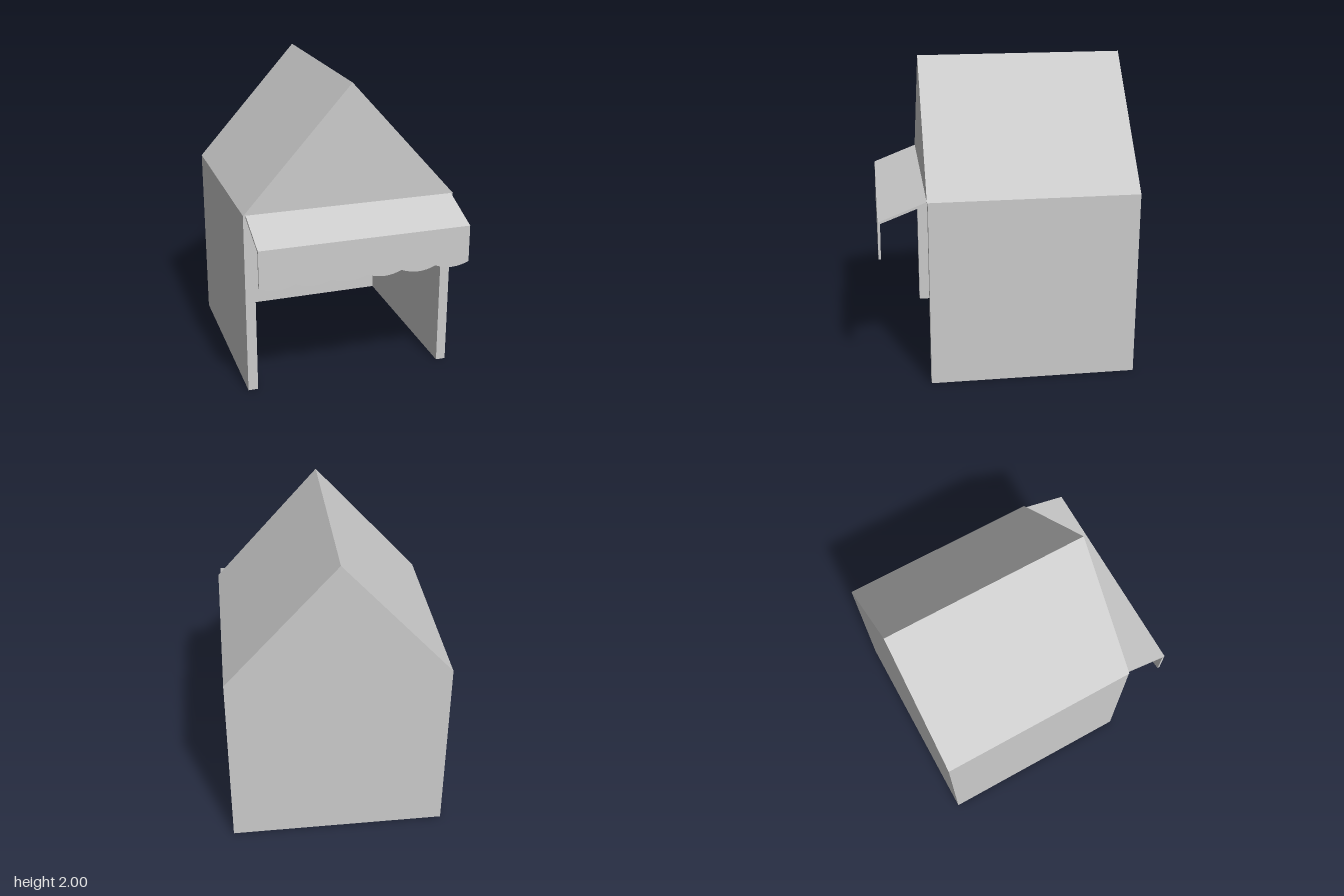
import * as THREE from 'three';

const material = new THREE.MeshStandardMaterial({ color: 0xcccccc, flatShading: true });

function extrude(points, depth) {
  const shape = new THREE.Shape(points.map(([x, y]) => new THREE.Vector2(x, y)));
  return new THREE.ExtrudeGeometry(shape, { depth, bevelEnabled: false });
}

export function createModel() {
  const group = new THREE.Group();
  const add = (name, geometry) => {
    const mesh = new THREE.Mesh(geometry, material);
    mesh.name = name;
    group.add(mesh);
    return mesh;
  };

  const halfWidth = 0.7, front = 0.515, back = -0.818, eaves = 1.22, wall = 0.065;

  // U-shaped walls, open at the front, without a floor
  const inner = halfWidth - wall;
  const walls = extrude([
    [-halfWidth, -front + 0.005], [-inner, -front + 0.005], [-inner, -back - wall], [inner, -back - wall],
    [inner, -front + 0.005], [halfWidth, -front + 0.005], [halfWidth, -back], [-halfWidth, -back],
  ], eaves);
  walls.rotateX(-Math.PI / 2);
  add('walls', walls);

  // Gabled roof prism
  const roof = extrude([[-halfWidth, eaves], [halfWidth, eaves], [0, 2]], front - back);
  roof.translate(0, 0, back);
  add('roof', roof);

  // Sloping awning sheet, cross-section in z and y swept along x
  const awningHalf = 0.685;
  const awning = extrude([[front, 1.205], [0.803, 1.094], [0.815, 1.105], [front, 1.222]], awningHalf * 2);
  awning.rotateY(-Math.PI / 2);
  awning.translate(awningHalf, 0, 0);
  add('awning', awning);

  // Hanging valance with a scalloped lower edge
  const scallops = 6, steps = 8, edge = [];
  const width = (awningHalf * 2) / scallops;
  for (let i = 0; i < scallops * steps; i++) {
    const t = (i % steps) / steps;
    edge.push([-awningHalf + (i / steps) * width, -0.24 - 0.1 * t * (1 - t)]);
  }
  edge.push([awningHalf, -0.24], [awningHalf, 0], [-awningHalf, 0]);
  const valance = add('valance', extrude(edge, 0.015));
  valance.position.set(0, 1.105, 0.8);
  valance.rotation.x = -0.015;
  valance.rotation.x *= -1;
  valance.position.z = 0.8;
  valance.rotation.x = -0.012;

  return group;
}
